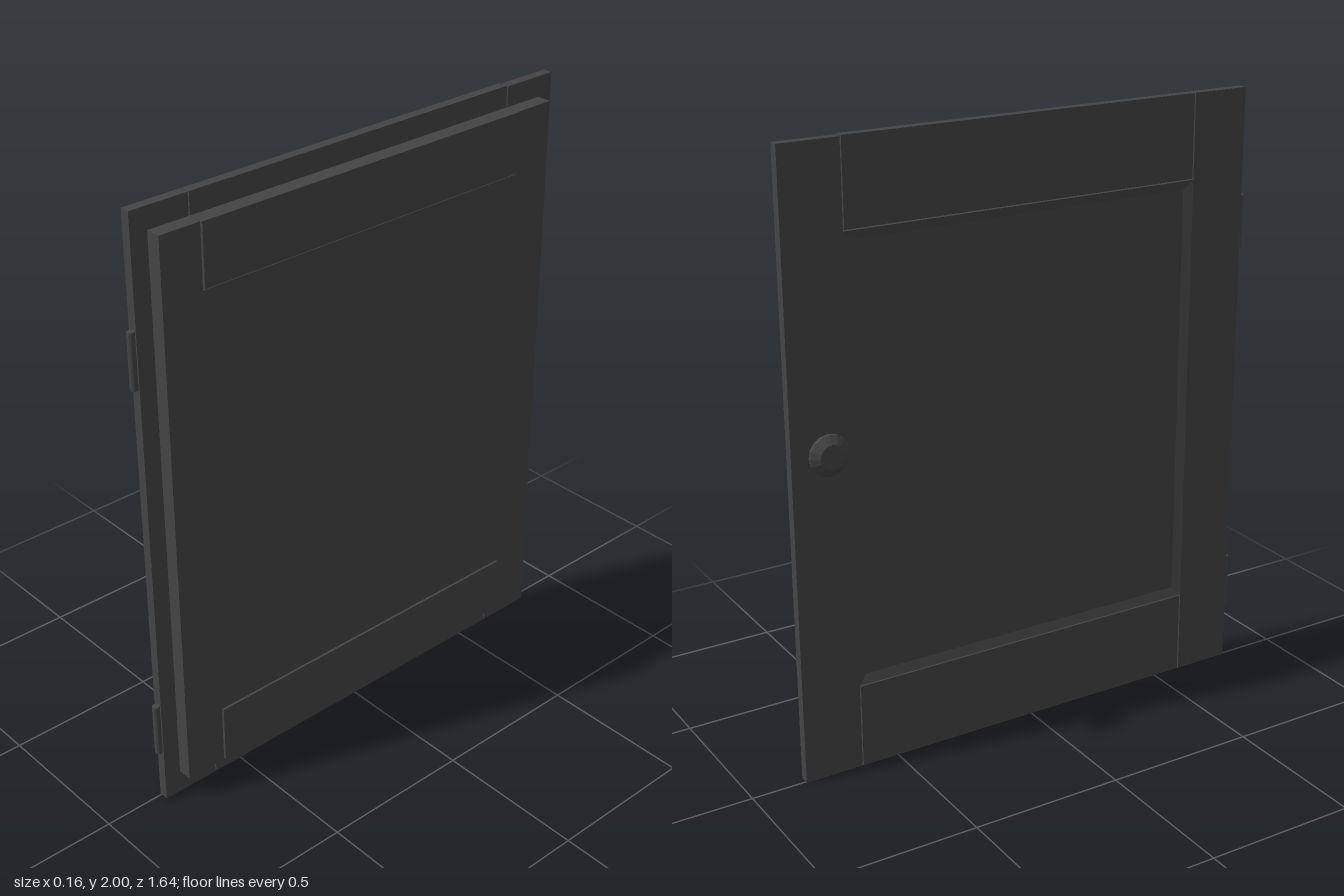
import * as THREE from 'three';

const material = new THREE.MeshStandardMaterial({ color: 0x444444, flatShading: true });

const FRONT = -0.005, STEP = 0.027, BACK = 0.076;

// Closed solid through rectangular rings [x, y0, y1, z0, z1] stacked along x
function loft(rings) {
  const pos = [];
  const corners = rings.map(([x, y0, y1, z0, z1]) => [[x, y0, z0], [x, y0, z1], [x, y1, z1], [x, y1, z0]]);
  const quad = (a, b, c, d) => pos.push(...a, ...b, ...c, ...a, ...c, ...d);
  for (let i = 0; i < corners.length - 1; i++) {
    for (let k = 0; k < 4; k++) {
      const n = (k + 1) % 4;
      quad(corners[i][k], corners[i + 1][k], corners[i + 1][n], corners[i][n]);
    }
  }
  const last = corners[corners.length - 1];
  quad(...corners[0]);
  quad(last[3], last[2], last[1], last[0]);
  const geo = new THREE.BufferGeometry();
  geo.setAttribute('position', new THREE.Float32BufferAttribute(pos, 3));
  geo.computeVertexNormals();
  return geo;
}

function add(parent, name, geometry) {
  const mesh = new THREE.Mesh(geometry, material);
  mesh.name = name;
  parent.add(mesh);
  return mesh;
}

// Frame member: outer face rectangle plus the smaller rebate behind it
function member(parent, name, face, rebate, back) {
  add(parent, name, loft([[FRONT, ...face], [STEP, ...face], [STEP, ...rebate], [back, ...rebate]]));
}

export function createModel() {
  const door = new THREE.Group();
  door.name = 'cabinetDoor';

  // Upright stiles
  member(door, 'hingeStile', [0, 2, 0.602, 0.797], [0.08, 1.93, 0.602, 0.74], BACK);
  member(door, 'knobStile', [0, 1.997, -0.82, -0.626], [0.08, 1.93, -0.765, -0.626], BACK);

  // Rails, with hairline joints to the neighbouring pieces
  member(door, 'topRail', [1.73, 2, -0.622, 0.598], [1.73, 1.93, -0.622, 0.598], 0.08);
  member(door, 'bottomRail', [0, 0.278, -0.622, 0.598], [0.08, 0.278, -0.622, 0.598], 0.08);

  // Centre panel, sunk behind a sloped moulding
  const y0 = 0.282, y1 = 1.726, z0 = -0.626, z1 = 0.602, w = 0.03;
  add(door, 'panel', loft([
    [0.006, y0 + w, y1 - w, z0 + w, z1 - w],
    [FRONT, y0, y1, z0, z1],
    [BACK, y0, y1, z0, z1],
  ]));

  // Turned knob
  const profile = [[0, 0], [0.03, 0], [0.03, 0.031], [0.045, 0.036], [0.065, 0.046],
    [0.065, 0.056], [0.04, 0.074], [0, 0.075]].map(([r, h]) => new THREE.Vector2(r, h));
  const knob = add(door, 'knob', new THREE.LatheGeometry(profile, 16));
  knob.rotation.z = Math.PI / 2;
  knob.position.set(FRONT, 1.085, -0.72);

  // Hinge barrels, each with a short leaf into the stile edge
  for (const [name, y] of [['upperHinge', 1.56], ['lowerHinge', 0.28]]) {
    const hinge = new THREE.Group();
    hinge.name = name;
    hinge.position.set(0.017, y, 0.808);
    add(hinge, 'barrel', new THREE.CylinderGeometry(0.012, 0.012, 0.18, 12));
    add(hinge, 'leaf', new THREE.BoxGeometry(0.006, 0.17, 0.02)).position.z = -0.008;
    door.add(hinge);
  }
  return door;
}
